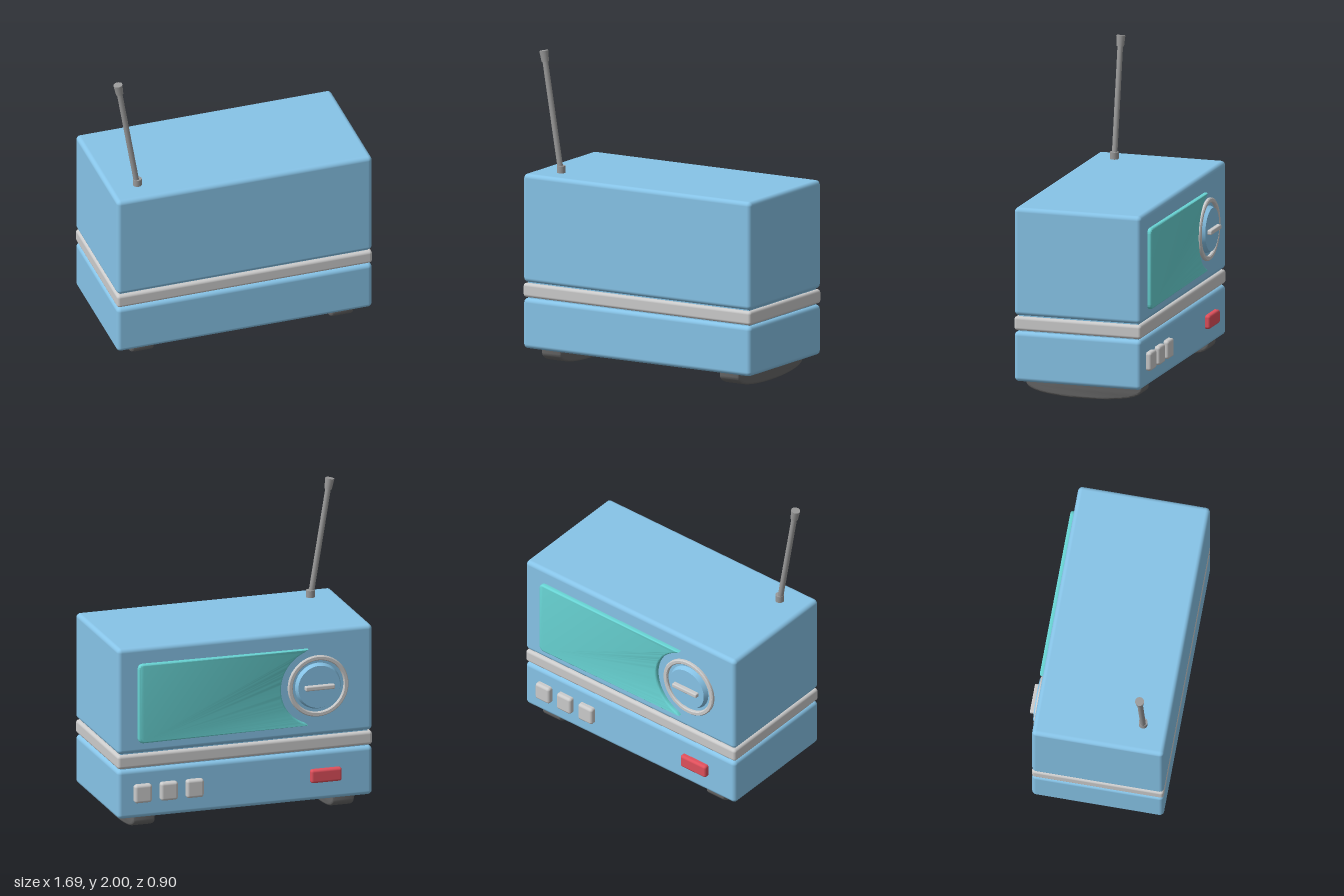
import * as THREE from 'three';
import { RoundedBoxGeometry } from 'three/addons/geometries/RoundedBoxGeometry.js';
import { toCreasedNormals } from 'three/addons/utils/BufferGeometryUtils.js';

const paint = (color) => new THREE.MeshStandardMaterial({ color });

export function createModel() {
  const radio = new THREE.Group();
  radio.name = 'radio';
  const grey = paint(0xcccccc), blue = paint(0x87c4e8), teal = paint(0x68d4d4);
  const red = paint(0xe0505c), dark = paint(0x666666), metal = paint(0x999999);

  const add = (name, geometry, material, x = 0, y = 0, z = 0, parent = radio) => {
    const mesh = new THREE.Mesh(geometry, material);
    mesh.name = name;
    mesh.position.set(x, y, z);
    parent.add(mesh);
    return mesh;
  };
  const rounded = (w, h, d, r) => new RoundedBoxGeometry(w, h, d, 4, r);
  const bevelled = (shape, depth, bevel) => toCreasedNormals(new THREE.ExtrudeGeometry(shape, {
    depth: depth - 2 * bevel, bevelThickness: bevel, bevelSize: bevel,
    bevelSegments: 4, curveSegments: 32,
  }).translate(0, 0, bevel), 0.6);

  // Stacked case: lower body, trim band, upper body, with a recessed core showing in the seams
  const midZ = 0.026, back = -0.395;
  const slab = (name, y0, y1, r, mat) =>
    add(name, rounded(1.69, y1 - y0, 0.842, r), mat, 0, (y0 + y1) / 2, midZ);
  slab('lowerBody', 0.105, 0.427, 0.028, blue);
  slab('trimBand', 0.434, 0.524, 0.02, grey);
  slab('upperBody', 0.531, 1.225, 0.028, blue);
  add('innerCore', new THREE.BoxGeometry(1.64, 0.3, 0.79), blue, 0, 0.48, midZ);

  // Rocker-shaped feet running front to back
  const b = 0.014;
  const foot = new THREE.Shape();
  foot.moveTo(-0.385 + b, 0.12);
  foot.lineTo(-0.385 + b, 0.085);
  foot.bezierCurveTo(-0.37, 0.035, -0.19, b, 0, b);
  foot.bezierCurveTo(0.19, b, 0.37, 0.035, 0.385 - b, 0.085);
  foot.lineTo(0.385 - b, 0.12);
  foot.closePath();
  for (const side of [-1, 1]) {
    const geo = bevelled(foot, 0.146, b).translate(0, 0, -0.073).rotateY(Math.PI / 2);
    add(side < 0 ? 'rightFoot' : 'leftFoot', geo, dark, side * 0.66, 0, 0.02);
  }

  // Speaker panel with a concave end that follows the dial
  const dialX = -0.48, dialY = 0.86, bevel = 0.012, half = 0.248, arcR = 0.262;
  const x1 = 0.715 - bevel, top = dialY + half, bottom = dialY - half, c = 0.025;
  const tip = Math.asin(half / arcR);
  const panel = new THREE.Shape();
  panel.moveTo(dialX + arcR * Math.cos(tip), bottom);
  panel.lineTo(x1 - c, bottom);
  panel.quadraticCurveTo(x1, bottom, x1, bottom + c);
  panel.lineTo(x1, top - c);
  panel.quadraticCurveTo(x1, top, x1 - c, top);
  panel.lineTo(dialX + arcR * Math.cos(tip), top);
  panel.absarc(dialX, dialY, arcR, tip, -tip, true);
  add('speakerPanel', bevelled(panel, 0.042, bevel), teal, 0, 0, -0.422);

  // Tuning dial: ring, tapered disc and grip bar
  const dial = new THREE.Group();
  dial.name = 'tuningDial';
  dial.position.set(dialX, dialY, back);
  radio.add(dial);
  const ringProfile = [[0.17, 0.01], [0.17, -0.013], [0.176, -0.019], [0.194, -0.019],
    [0.2, -0.013], [0.2, 0.01]].map(([r, h]) => new THREE.Vector2(r, -h)).reverse();
  const ring = toCreasedNormals(new THREE.LatheGeometry(ringProfile, 48), 0.5);
  add('dialRing', ring.rotateX(-Math.PI / 2), grey, 0, 0, 0, dial).material =
    new THREE.MeshStandardMaterial({ color: 0xcccccc, side: THREE.DoubleSide });
  const disc = new THREE.CylinderGeometry(0.138, 0.155, 0.04, 48).rotateX(-Math.PI / 2);
  add('dialDisc', disc, blue, 0, 0, -0.01, dial);
  add('dialGrip', rounded(0.195, 0.03, 0.035, 0.008), grey, 0, 0, -0.042, dial);

  // Push buttons on the lower body
  for (let i = 0; i < 3; i++) {
    add('pushButton' + (i + 1), rounded(0.115, 0.12, 0.06, 0.018), grey, 0.34 + i * 0.172, 0.27, back - 0.005);
  }
  add('powerButton', rounded(0.205, 0.088, 0.06, 0.016), red, -0.53, 0.27, back - 0.003);

  // Leaning antenna
  const antenna = new THREE.Group();
  antenna.name = 'antenna';
  antenna.position.set(-0.66, 1.22, 0.285);
  radio.add(antenna);
  add('antennaBase', new THREE.CylinderGeometry(0.028, 0.028, 0.05, 16), metal, 0, 0.025, 0, antenna);
  const mast = new THREE.Group();
  mast.name = 'mast';
  mast.rotation.z = 0.165;
  antenna.add(mast);
  add('antennaRod', new THREE.CylinderGeometry(0.018, 0.018, 0.75, 12), metal, 0, 0.375, 0, mast);
  add('antennaTip', new THREE.CylinderGeometry(0.029, 0.024, 0.07, 16), metal, 0, 0.75, 0, mast);

  return radio;
}
